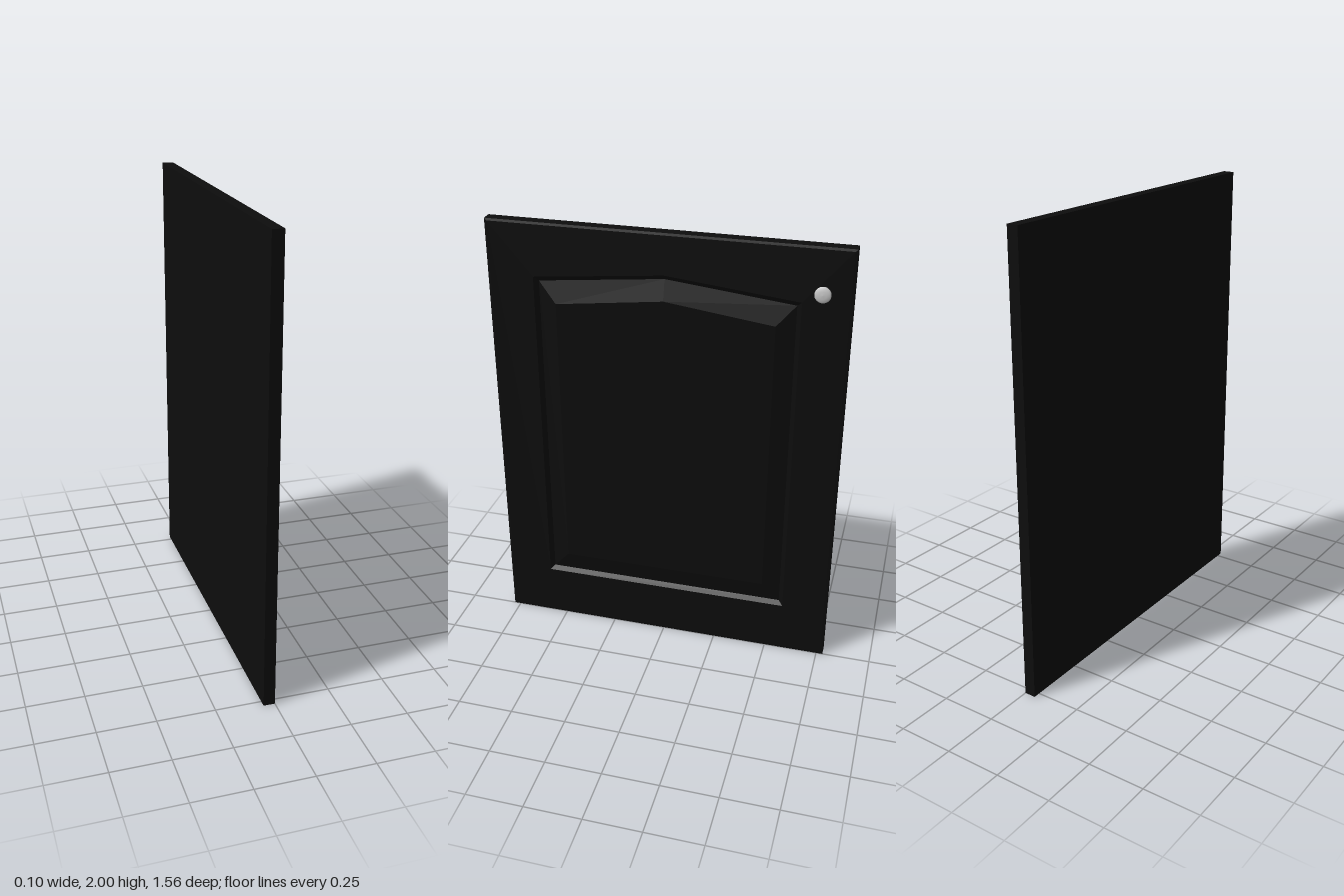
import * as THREE from 'three';

// Five-cornered outline in the plane x, counter-clockwise from +x, with a peaked top edge
const ring = (x, half, bottom, side, peak) => [
  [x, bottom, half], [x, bottom, -half], [x, side, -half], [x, peak, 0], [x, side, half],
];

// Joins consecutive outlines into one closed, faceted solid
function loft(rings) {
  const pos = [];
  const n = rings[0].length;
  const tri = (a, b, c) => pos.push(...a, ...b, ...c);
  for (let i = 0; i < rings.length - 1; i++) {
    const a = rings[i], b = rings[i + 1];
    for (let j = 0; j < n; j++) {
      const k = (j + 1) % n;
      tri(a[j], a[k], b[k]);
      tri(a[j], b[k], b[j]);
    }
  }
  const back = rings[0], front = rings[rings.length - 1];
  for (let j = 1; j < n - 1; j++) {
    tri(front[0], front[j], front[j + 1]);
    tri(back[0], back[j + 1], back[j]);
  }
  const geometry = new THREE.BufferGeometry();
  geometry.setAttribute('position', new THREE.Float32BufferAttribute(pos, 3));
  geometry.computeVertexNormals();
  return geometry;
}

export function createModel() {
  const group = new THREE.Group();

  // Door slab: softened front edge, sunken groove, raised arched panel
  const door = new THREE.Mesh(
    loft([
      ring(-0.05, 0.78, 0, 2, 2),
      ring(0, 0.78, 0, 2, 2),
      ring(0.003, 0.77, 0.01, 1.99, 1.99),
      ring(0.003, 0.575, 0.245, 1.76, 1.82),
      ring(-0.012, 0.555, 0.265, 1.74, 1.8),
      ring(0.013, 0.475, 0.36, 1.65, 1.71),
    ]),
    new THREE.MeshStandardMaterial({ color: 0x0d0d0d, flatShading: true }),
  );
  door.name = 'doorPanel';
  group.add(door);

  // Turned knob: foot, waist, flared head with a shallow dome
  const profile = [
    [0, 0], [0.022, 0], [0.021, 0.006], [0.017, 0.016], [0.019, 0.024], [0.031, 0.031],
    [0.034, 0.035], [0.034, 0.039], [0.029, 0.043], [0.016, 0.046], [0, 0.047],
  ].map(([r, h]) => new THREE.Vector2(r, h));
  const knob = new THREE.Mesh(
    new THREE.LatheGeometry(profile, 32),
    new THREE.MeshStandardMaterial({ color: 0xcccccc }),
  );
  knob.name = 'knob';
  knob.rotation.z = -Math.PI / 2;
  knob.position.set(0.002, 1.815, -0.66);
  group.add(knob);

  return group;
}
